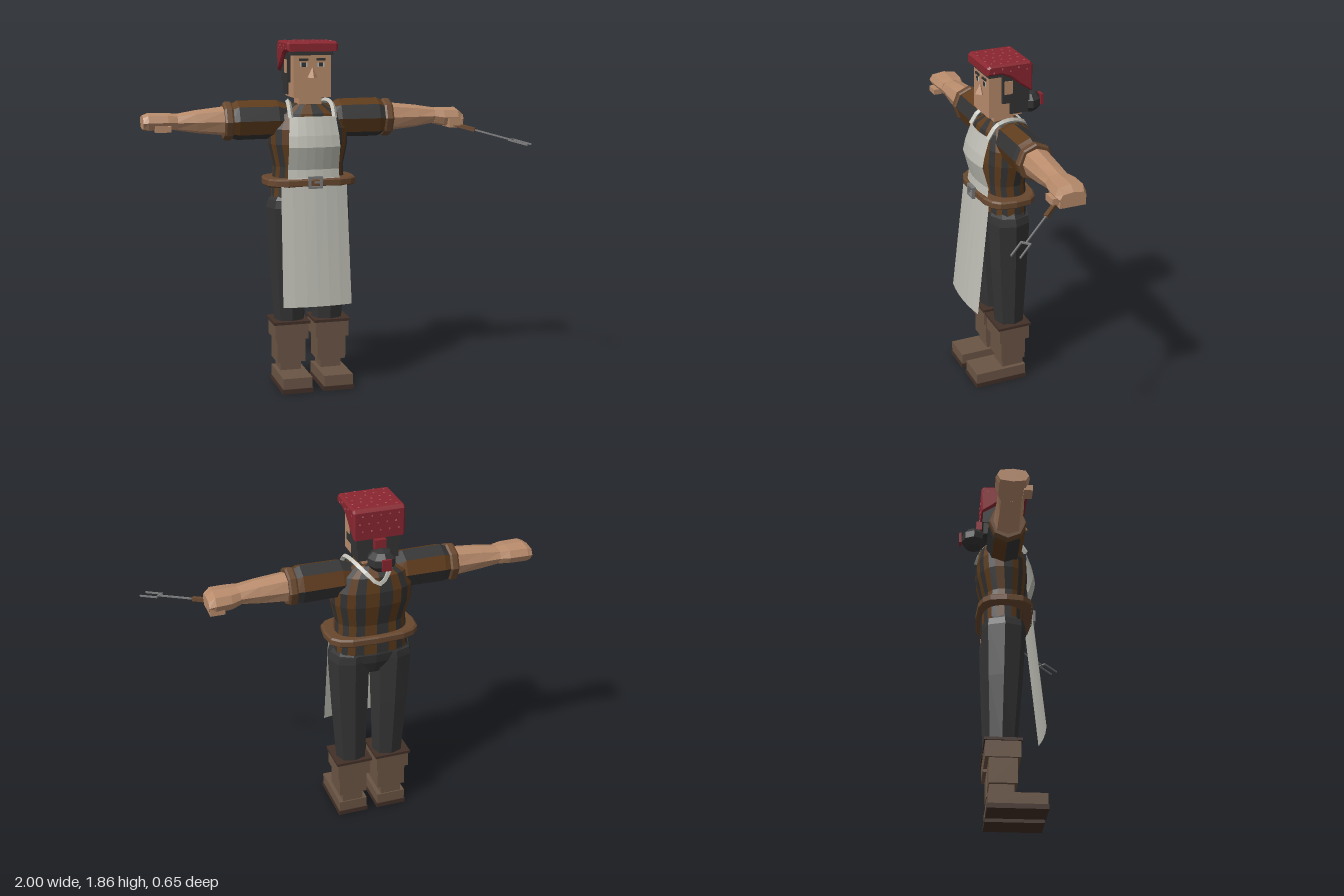
import * as THREE from 'three';

const paint = (name, color) => {
  const m = new THREE.MeshStandardMaterial({ color });
  m.name = name;
  return m;
};
const skin = paint('skin', 0xb98c6c), stripe = paint('brown stripe', 0x5f3c1c), charcoal = paint('charcoal', 0x343434);
const leather = paint('belt leather', 0x68482f), bootTan = paint('boot leather', 0x6b5545), sole = paint('sole', 0x423028);
const linen = paint('apron linen', 0xbdbdb4), red = paint('red cloth', 0x8a2630), steel = paint('steel', 0x7a7a7a);
const dot = paint('cloth dots', 0xb05a5c);
linen.side = THREE.DoubleSide;

const flat = (g) => {
  const f = g.index ? g.toNonIndexed() : g;
  f.computeVertexNormals();
  return f;
};

// Closed faceted loft along y; rows are [y, centreX, centreZ, radiusX, radiusZ], columns alternate groups 0 and 1
function loft(rows, n, p = 1) {
  const pos = [], g = new THREE.BufferGeometry();
  const pw = (v) => Math.sign(v) * Math.abs(v) ** p;
  const at = ([y, cx, cz, rx, rz], i) => {
    const a = (i % n) / n * Math.PI * 2;
    return [cx + rx * pw(Math.cos(a)), y, cz + rz * pw(Math.sin(a))];
  };
  const first = rows[0], last = rows[rows.length - 1];
  for (let i = 0; i < n; i++) {
    const start = pos.length / 3;
    for (let j = 0; j < rows.length - 1; j++) {
      const a = at(rows[j], i), b = at(rows[j], i + 1), c = at(rows[j + 1], i + 1), d = at(rows[j + 1], i);
      pos.push(...a, ...d, ...c, ...a, ...c, ...b);
    }
    pos.push(first[1], first[0], first[2], ...at(first, i), ...at(first, i + 1));
    pos.push(last[1], last[0], last[2], ...at(last, i + 1), ...at(last, i));
    g.addGroup(start, pos.length / 3 - start, i % 2);
  }
  g.setAttribute('position', new THREE.Float32BufferAttribute(pos, 3));
  g.computeVertexNormals();
  return g;
}

export function createModel() {
  const root = new THREE.Group();
  root.name = 'apronedCook';
  const body = new THREE.Group();
  body.name = 'body';
  body.position.x = -0.123;
  root.add(body);
  const add = (name, geo, mat, parent = body) => {
    const m = new THREE.Mesh(geo, mat);
    m.name = name;
    parent.add(m);
    return m;
  };
  // Box given by its limits on each axis
  const box = (name, mat, x0, x1, y0, y1, z0, z1, parent = body) => {
    const m = add(name, new THREE.BoxGeometry(x1 - x0, y1 - y0, z1 - z0), mat, parent);
    m.position.set((x0 + x1) / 2, (y0 + y1) / 2, (z0 + z1) / 2);
    return m;
  };

  // Boots and trousers
  for (const s of [1, -1]) {
    const side = s > 0 ? 'left' : 'right', c = s * 0.112;
    const slab = (part, mat, w, y0, y1, z0, z1) => box(side + part, mat, c - w / 2, c + w / 2, y0, y1, z0, z1);
    slab('Sole', sole, 0.168, 0, 0.025, -0.17, 0.132);
    slab('Foot', bootTan, 0.16, 0.025, 0.083, -0.166, 0.128);
    slab('Ankle', bootTan, 0.115, 0.083, 0.135, -0.16, -0.035);
    slab('BootShaft', bootTan, 0.158, 0.13, 0.26, -0.163, -0.02);
    slab('BootCuff', bootTan, 0.184, 0.26, 0.345, -0.182, -0.004);
    slab('BootRim', sole, 0.2, 0.345, 0.36, -0.188, 0.004);
    add(side + 'TrouserLeg', loft([
      [0.34, s * 0.105, -0.098, 0.083, 0.08], [0.7, s * 0.112, -0.092, 0.103, 0.102],
      [0.98, s * 0.116, -0.088, 0.115, 0.116], [1.02, s * 0.112, -0.088, 0.108, 0.112],
    ], 8, 0.85), charcoal);
  }
  add('hips', loft([[0.9, 0, -0.088, 0.16, 0.08], [0.97, 0, -0.088, 0.21, 0.108],
    [1.02, 0, -0.088, 0.215, 0.115], [1.06, 0, -0.088, 0.19, 0.1]], 12, 0.8), charcoal);

  // Striped shirt
  add('shirt', loft([
    [1.03, 0, -0.09, 0.2, 0.112], [1.12, 0, -0.092, 0.195, 0.112], [1.2, 0, -0.086, 0.188, 0.114],
    [1.32, 0, -0.094, 0.214, 0.136], [1.4, 0, -0.098, 0.215, 0.137], [1.48, 0, -0.1, 0.18, 0.12],
    [1.525, 0, -0.095, 0.1, 0.075], [1.53, 0, -0.095, 0.06, 0.05],
  ], 24, 0.8), [stripe, charcoal]);

  // Arms: sleeve, cuff, forearm and hand, rows run outward as [x, y, z, radiusY, radiusZ]
  for (const s of [1, -1]) {
    const side = s > 0 ? 'left' : 'right';
    const limb = (rows, p) => loft(rows.map(([t, y, z, ry, rz]) => [t, -s * y, z, ry, rz]), 8, p).rotateZ(-s * Math.PI / 2);
    add(side + 'Sleeve', limb([[0.1, 1.445, -0.092, 0.075, 0.08], [0.17, 1.446, -0.092, 0.102, 0.095],
      [0.38, 1.446, -0.092, 0.104, 0.097], [0.415, 1.443, -0.092, 0.09, 0.088]]), s > 0 ? [charcoal, stripe] : [stripe, charcoal]);
    add(side + 'SleeveCuff', limb([[0.41, 1.443, -0.092, 0.095, 0.092], [0.42, 1.443, -0.092, 0.102, 0.098],
      [0.447, 1.443, -0.092, 0.102, 0.098], [0.457, 1.443, -0.092, 0.095, 0.092]]), leather);
    add(side + 'Forearm', limb([[0.44, 1.445, -0.092, 0.077, 0.075], [0.6, 1.445, -0.092, 0.06, 0.07],
      [0.71, 1.445, -0.094, 0.042, 0.066]], 0.85), skin);
    if (s > 0) {
      add('leftFist', limb([[0.7, 1.444, -0.094, 0.043, 0.067], [0.75, 1.438, -0.097, 0.05, 0.08],
        [0.83, 1.435, -0.097, 0.052, 0.082], [0.863, 1.425, -0.097, 0.032, 0.07]], 0.7), skin);
      box('leftCurledFingers', skin, 0.785, 0.86, 1.38, 1.42, -0.165, -0.03);
      box('leftThumb', skin, 0.77, 0.845, 1.395, 1.43, -0.04, 0.004);
    } else {
      add('rightHand', limb([[0.7, 1.446, -0.094, 0.042, 0.067], [0.75, 1.449, -0.097, 0.045, 0.08],
        [0.85, 1.449, -0.097, 0.046, 0.083], [0.877, 1.447, -0.097, 0.036, 0.077]], 0.7), skin);
      box('rightThumb', skin, -0.82, -0.74, 1.402, 1.432, -0.04, 0.004);
    }
  }

  // Two-pronged fork in the left hand, built along z then aimed
  const fork = new THREE.Group();
  fork.name = 'fork';
  fork.position.set(0.69, 1.397, -0.035);
  fork.lookAt(0.985, 1.315, 0.31);
  root.add(fork);
  box('forkHandle', leather, -0.01, 0.01, -0.01, 0.01, -0.02, 0.13, fork);
  box('forkShaft', steel, -0.004, 0.004, -0.004, 0.004, 0.13, 0.35, fork);
  box('forkBar', steel, -0.027, 0.027, -0.004, 0.004, 0.345, 0.354, fork);
  for (const s of [1, -1]) box('forkTine', steel, s * 0.023 - 0.004, s * 0.023 + 0.004, -0.004, 0.004, 0.35, 0.458, fork);

  // Apron panel: rows of [y, z, half width], bowed back toward the edges
  const apronRows = [[1.468, 0.04, 0.125], [1.37, 0.073, 0.135], [1.31, 0.085, 0.138], [1.19, 0.052, 0.138],
    [1.145, 0.058, 0.14], [1.12, 0.066, 0.178], [0.47, 0.136, 0.187]];
  const panel = new THREE.PlaneGeometry(2, 1, 6, apronRows.length - 1), pp = panel.attributes.position;
  for (let i = 0; i < pp.count; i++) {
    const [y, z, w] = apronRows[Math.floor(i / 7)], u = pp.getX(i);
    pp.setXYZ(i, u * w, y, z - 0.018 * u * u);
  }
  add('apron', flat(panel), linen);
  const half = [[0.118, 1.46, 0.028], [0.117, 1.525, -0.02], [0.105, 1.54, -0.1], [0.065, 1.505, -0.19]];
  const strapPath = [...half, [0, 1.45, -0.232], ...half.map(([x, y, z]) => [-x, y, z]).reverse()];
  const curve = new THREE.CatmullRomCurve3(strapPath.map((v) => new THREE.Vector3(...v)));
  add('apronStrap', flat(new THREE.TubeGeometry(curve, 24, 0.014, 4)), linen);

  // Belt and buckle
  add('belt', loft([[1.098, 0, -0.08, 0.24, 0.142], [1.106, 0, -0.08, 0.25, 0.151],
    [1.134, 0, -0.08, 0.25, 0.151], [1.142, 0, -0.08, 0.24, 0.142]], 16, 0.6), leather);
  for (const s of [1, -1]) {
    box('buckleSide', steel, s * 0.031 - 0.006, s * 0.031 + 0.006, 1.093, 1.157, 0.065, 0.086);
    box('buckleBar', steel, -0.037, 0.037, 1.125 + s * 0.026 - 0.006, 1.125 + s * 0.026 + 0.006, 0.065, 0.085);
  }
  box('bucklePin', steel, -0.004, 0.03, 1.121, 1.129, 0.068, 0.082);

  // Head and face
  box('neck', skin, -0.062, 0.062, 1.49, 1.59, -0.14, -0.03);
  box('head', skin, -0.1, 0.1, 1.565, 1.82, -0.17, 0.015);
  const nose = add('nose', flat(new THREE.ConeGeometry(0.028, 0.055, 4)), skin);
  nose.position.set(0, 1.697, 0.022);
  for (const s of [1, -1]) {
    const x = s * 0.046;
    box('brow', charcoal, x - 0.024, x + 0.024, 1.757, 1.769, 0.014, 0.022);
    box('eye', linen, x - 0.019, x + 0.019, 1.724, 1.747, 0.013, 0.018);
    box('pupil', charcoal, x - 0.011, x + 0.011, 1.726, 1.747, 0.014, 0.02);
    box('ear', skin, s * 0.112 - 0.01, s * 0.112 + 0.01, 1.69, 1.76, -0.108, -0.065);
  }

  // Hair and bun
  box('hairFringe', charcoal, -0.112, 0.112, 1.785, 1.82, -0.1, 0.02);
  box('hairSides', charcoal, -0.117, 0.117, 1.64, 1.8, -0.205, -0.055);
  box('hairNape', charcoal, -0.108, 0.108, 1.575, 1.66, -0.2, -0.1);
  const bun = add('bun', flat(new THREE.SphereGeometry(0.078, 8, 5)), charcoal);
  bun.scale.set(1, 0.78, 0.9);
  bun.position.set(0, 1.594, -0.248);
  box('scarfKnot', red, -0.03, 0.03, 1.645, 1.695, -0.236, -0.205);
  box('scarfTail', red, -0.024, 0.024, 1.565, 1.625, -0.328, -0.315);

  // Red cap: side profile in (z, y) pulled across the head
  const profile = [[0.037, 1.805], [0.037, 1.845], [0.02, 1.857], [-0.2, 1.857], [-0.215, 1.84], [-0.213, 1.695],
    [-0.15, 1.735], [-0.09, 1.785], [-0.04, 1.805]];
  const cap = new THREE.ExtrudeGeometry(new THREE.Shape(profile.map((v) => new THREE.Vector2(...v))),
    { depth: 0.252, bevelThickness: 0.01, bevelSize: 0.01, bevelOffset: -0.01, bevelSegments: 1 });
  add('cap', cap.translate(0, 0, -0.126).rotateY(-Math.PI / 2), red);
  const spot = (x, y, z) => box('capDot', dot, x - 0.004, x + 0.004, y - 0.004, y + 0.004, z - 0.004, z + 0.004);
  for (let i = 0; i < 5; i++) {
    for (let j = 0; j < 5; j++) spot(-0.1 + i * 0.05 + (j % 2) * 0.015, 1.8545, -0.18 + j * 0.045 + (i % 2) * 0.015);
    for (let j = 0; j < 3; j++) spot(-0.1 + i * 0.047 + (j % 2) * 0.015, 1.74 + j * 0.04, -0.2115);
    for (const s of [1, -1]) spot(s * 0.1335, 1.82 + (i % 2) * 0.015, -0.18 + i * 0.045);
  }
  return root;
}
